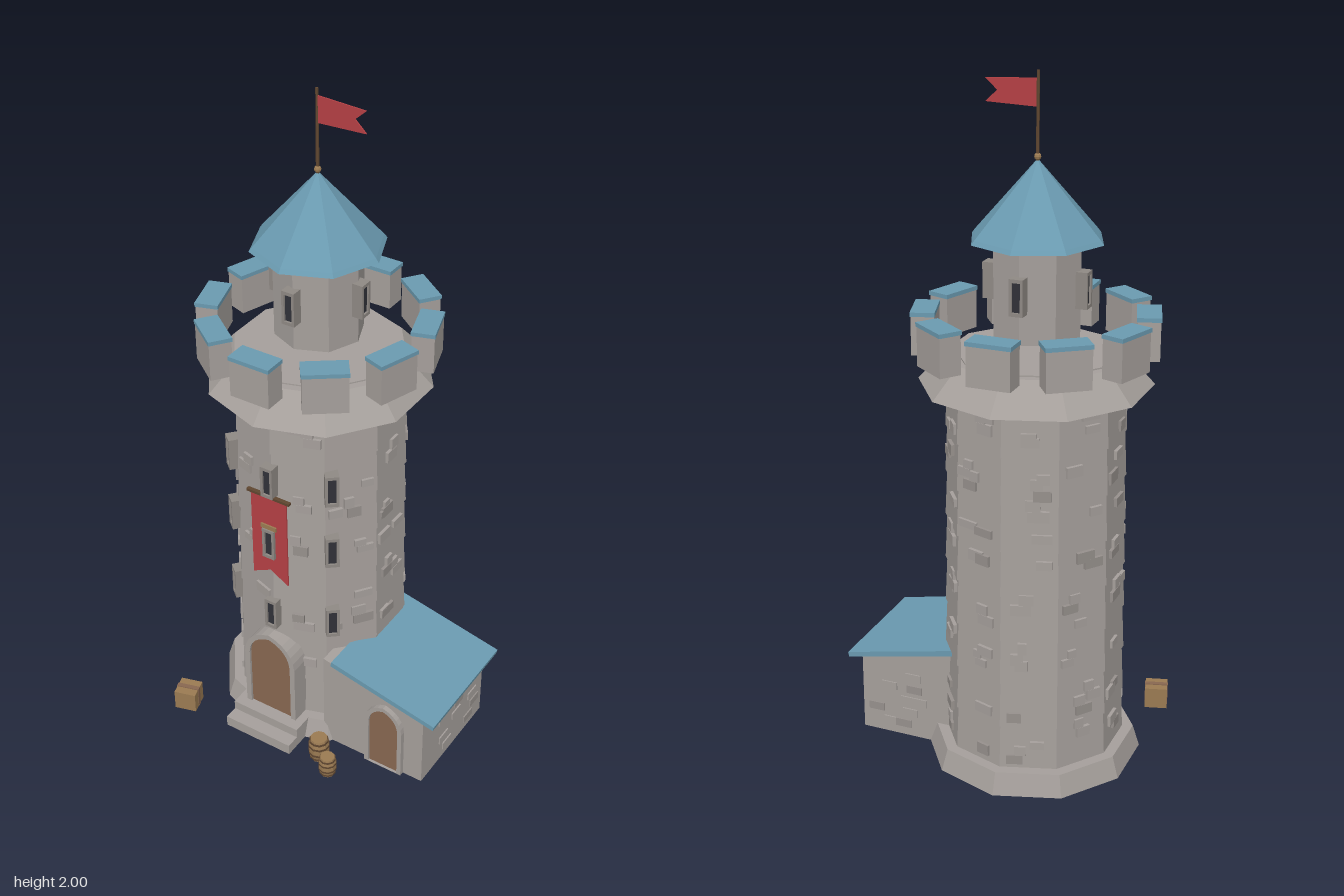
import * as THREE from 'three';

const mat = (name, color) => {
  const m = new THREE.MeshStandardMaterial({ color });
  m.name = name;
  return m;
};

export function createModel() {
  const stone = mat('stone', 0xa59f9b);
  const darkStone = mat('darkStone', 0x96908c);
  const trim = mat('trimStone', 0x8f8984);
  const slate = mat('slateBlue', 0x6a9ab0);
  const red = mat('redCloth', 0xb54044);
  const wood = mat('wood', 0x9a7a52);
  const doorWood = mat('doorWood', 0x886750);
  const darkWood = mat('darkWood', 0x5f4630);
  const glass = mat('darkGlass', 0x303138);

  const model = new THREE.Group();
  model.name = 'watchtower';
  const tower = new THREE.Group();
  tower.name = 'tower';
  tower.position.set(-0.104, 0, -0.031);
  model.add(tower);

  // Faceted mesh added to a parent
  const add = (parent, name, geo, material, x = 0, y = 0, z = 0) => {
    const flat = geo.index ? geo.toNonIndexed() : geo;
    flat.computeVertexNormals();
    const mesh = new THREE.Mesh(flat, material);
    mesh.name = name;
    mesh.position.set(x, y, z);
    parent.add(mesh);
    return mesh;
  };
  const box = (parent, name, w, h, d, m, x, y, z) =>
    add(parent, name, new THREE.BoxGeometry(w, h, d), m, x, y, z);
  const drum = (parent, name, rTop, rBottom, y0, y1, sides, m, x = 0, z = 0) =>
    add(parent, name, new THREE.CylinderGeometry(rTop, rBottom, y1 - y0, sides), m, x, (y0 + y1) / 2, z);
  const pivot = (parent, name, angle) => {
    const g = new THREE.Group();
    g.name = name;
    g.rotation.y = angle;
    parent.add(g);
    return g;
  };
  const polygon = pts => new THREE.Shape(pts.map(p => new THREE.Vector2(p[0], p[1])));
  const slab = (shape, depth) =>
    new THREE.ExtrudeGeometry(shape, { depth, bevelEnabled: false, curveSegments: 6 });
  let seed = 7;
  const rand = () => (seed = (seed * 16807) % 2147483647) / 2147483647;
  const DEG = Math.PI / 180;

  // Plinth and stacked wall courses
  drum(tower, 'plinth', 0.297, 0.317, 0, 0.065, 10, stone);
  const courses = 8, y0 = 0.06, courseH = (1.15 - y0) / courses;
  const wallR = y => 0.262 - 0.012 * (y - y0) / (1.15 - y0);
  for (let i = 0; i < courses; i++) {
    const y = y0 + i * courseH;
    drum(tower, 'wallCourse', wallR(y + courseH) - 0.002, wallR(y) + 0.003, y, y + courseH, 10, stone);
  }

  // Raised stones scattered over the ten wall faces
  for (let k = 0; k < 10; k++) {
    const face = pivot(tower, 'wallFaceStones', (18 + 36 * k) * DEG);
    for (let i = 0; i < courses; i++) {
      const n = 1 + Math.floor(rand() * 2);
      for (let j = 0; j < n; j++) {
        const w = 0.035 + rand() * 0.03, h = 0.022 + rand() * 0.012;
        const x = (rand() - 0.5) * (0.15 - w);
        const y = y0 + (i + 0.2 + rand() * 0.6) * courseH;
        // Keep the doorway and front windows clear
        const towardFront = k === 0 ? -x : k === 9 ? x : -1;
        if (towardFront > -0.01 && (y < 0.42 || rand() < 0.6)) continue;
        const z = wallR(y) * Math.cos(18 * DEG);
        box(face, 'raisedStone', w, h, 0.018, rand() < 0.3 ? darkStone : stone, x, y, z);
        if (rand() < 0.4)
          box(face, 'raisedStone', w * 0.7, h, 0.016, stone, x + 0.015 * (x < 0 ? 1 : -1), y + h, z);
      }
    }
  }

  // Flared collar, floor and ring of merlons
  drum(tower, 'collar', 0.249, 0.328, 1.15, 1.236, 10, stone);
  drum(tower, 'parapetFloor', 0.226, 0.226, 1.234, 1.24, 10, stone);
  for (let k = 0; k < 10; k++) {
    const g = pivot(tower, 'merlon', 36 * k * DEG);
    box(g, 'merlonBlock', 0.124, 0.112, 0.064, stone, 0, 1.291, 0.306);
    box(g, 'merlonCap', 0.129, 0.012, 0.068, slate, 0, 1.352, 0.306);
  }

  // Slit window: four frame bars around a dark pane
  const slitWindow = (angle, r, y) => {
    const g = pivot(tower, 'window', angle);
    for (const s of [-1, 1]) {
      box(g, 'windowJamb', 0.008, 0.1, 0.036, trim, s * 0.016, y, r - 0.012);
      box(g, 'windowRail', 0.04, 0.01, 0.036, trim, 0, y + s * 0.046, r - 0.012);
    }
    box(g, 'windowPane', 0.026, 0.086, 0.03, glass, 0, y, r - 0.015);
  };
  for (const y of [0.445, 0.71, 0.928])
    for (const a of [-40, 0, 40]) slitWindow(a * DEG, 0.272, y);

  // Turret with its windows
  drum(tower, 'turret', 0.127, 0.127, 1.29, 1.556, 8, stone);
  for (let k = 0; k < 4; k++) slitWindow(k * 90 * DEG, 0.146, 1.428);

  // Spire roof
  drum(tower, 'roofEave', 0.181, 0.19, 1.553, 1.565, 8, slate);
  drum(tower, 'roof', 0, 0.181, 1.565, 1.77, 8, slate);

  // Flagpole and swallow-tailed flag
  drum(tower, 'flagpole', 0.004, 0.005, 1.75, 2.0, 6, darkWood);
  add(tower, 'poleKnob', new THREE.SphereGeometry(0.01, 8, 6), wood, 0, 1.775, 0);
  add(tower, 'flag', slab(polygon([[0, 1.905], [0.149, 1.91], [0.115, 1.942], [0.149, 1.972], [0, 1.98]]), 0.004),
    red, 0, 0, -0.002);

  // Hanging banner
  add(tower, 'banner', slab(polygon([[-0.06, 0.58], [0, 0.61], [0.06, 0.575], [0.06, 0.875], [-0.06, 0.875]]), 0.005),
    red, 0, 0, 0.264);
  box(tower, 'bannerRod', 0.144, 0.008, 0.012, darkWood, 0, 0.876, 0.267);
  box(tower, 'windowLintel', 0.052, 0.014, 0.02, wood, 0, 0.768, 0.264);

  // Pointed arch outline and a doorway made from two of them
  const arch = (w, bottom, spring, top) => {
    const s = new THREE.Shape();
    s.moveTo(-w, bottom);
    s.lineTo(w, bottom);
    s.lineTo(w, spring);
    s.quadraticCurveTo(w * 0.92, top - (top - spring) * 0.2, 0, top);
    s.quadraticCurveTo(-w * 0.92, top - (top - spring) * 0.2, -w, spring);
    return s;
  };
  const doorway = (parent, x, z, depth, w, rim, bottom, spring, top) => {
    const g = new THREE.Group();
    g.name = 'doorway';
    g.position.set(x, 0, z);
    parent.add(g);
    const frame = arch(w + rim, bottom, spring, top + rim);
    frame.holes.push(arch(w, bottom + 0.001, spring, top));
    add(g, 'doorFrame', slab(frame, depth), stone);
    add(g, 'door', slab(arch(w, bottom, spring, top), depth - 0.008), doorWood);
  };
  doorway(tower, 0, 0.16, 0.131, 0.073, 0.017, 0.055, 0.27, 0.352);

  // Door steps
  box(model, 'lowerStep', 0.232, 0.035, 0.135, stone, -0.104, 0.0175, 0.2675);
  box(model, 'upperStep', 0.232, 0.03, 0.092, stone, -0.104, 0.05, 0.246);

  // Lean-to shed
  const shed = new THREE.Group();
  shed.name = 'shed';
  model.add(shed);
  add(shed, 'shedWalls', slab(polygon([[0.06, 0], [0.405, 0], [0.405, 0.248], [0.06, 0.322]]), 0.363),
    stone, 0, 0, -0.15);
  add(shed, 'shedRoof', slab(polygon([[0.09, 0.314], [0.442, 0.238], [0.445, 0.253], [0.093, 0.331]]), 0.389),
    slate, 0, 0, -0.167);
  doorway(shed, 0.278, 0.205, 0.024, 0.05, 0.014, 0.002, 0.17, 0.232);
  for (let i = 0; i < 9; i++) {
    const y = 0.04 + (i % 5) * 0.04;
    box(shed, 'shedStone', 0.008, 0.025, 0.05, i % 3 ? stone : darkStone, 0.405, y, -0.11 + rand() * 0.28);
    box(shed, 'shedStone', 0.05, 0.025, 0.008, i % 3 ? stone : darkStone, 0.2 + rand() * 0.17, y, -0.15);
  }

  // Barrels with hoops
  for (const [x, z, r, h] of [[0.093, 0.292, 0.033, 0.08], [0.15, 0.333, 0.028, 0.068]]) {
    const g = new THREE.Group();
    g.name = 'barrel';
    g.position.set(x, 0, z);
    model.add(g);
    const profile = [[0, 0], [0.78, 0], [0.95, 0.3], [0.95, 0.7], [0.78, 1], [0, 1]];
    add(g, 'barrelBody', new THREE.LatheGeometry(profile.map(p => new THREE.Vector2(p[0] * r, p[1] * h)), 10), wood);
    for (const t of [0.12, 0.34, 0.66, 0.88]) {
      const hr = r * (t > 0.3 && t < 0.7 ? 1 : 0.9);
      drum(g, 'barrelHoop', hr, hr, h * (t - 0.04), h * (t + 0.04), 10, darkWood);
    }
  }

  // Crate with a strap
  const crate = pivot(model, 'crate', 0.28);
  crate.position.set(-0.378, 0, 0.32);
  box(crate, 'crateBody', 0.068, 0.066, 0.066, wood, 0, 0.033, 0);
  box(crate, 'crateStrap', 0.071, 0.069, 0.014, doorWood, 0, 0.0345, 0);

  return model;
}
